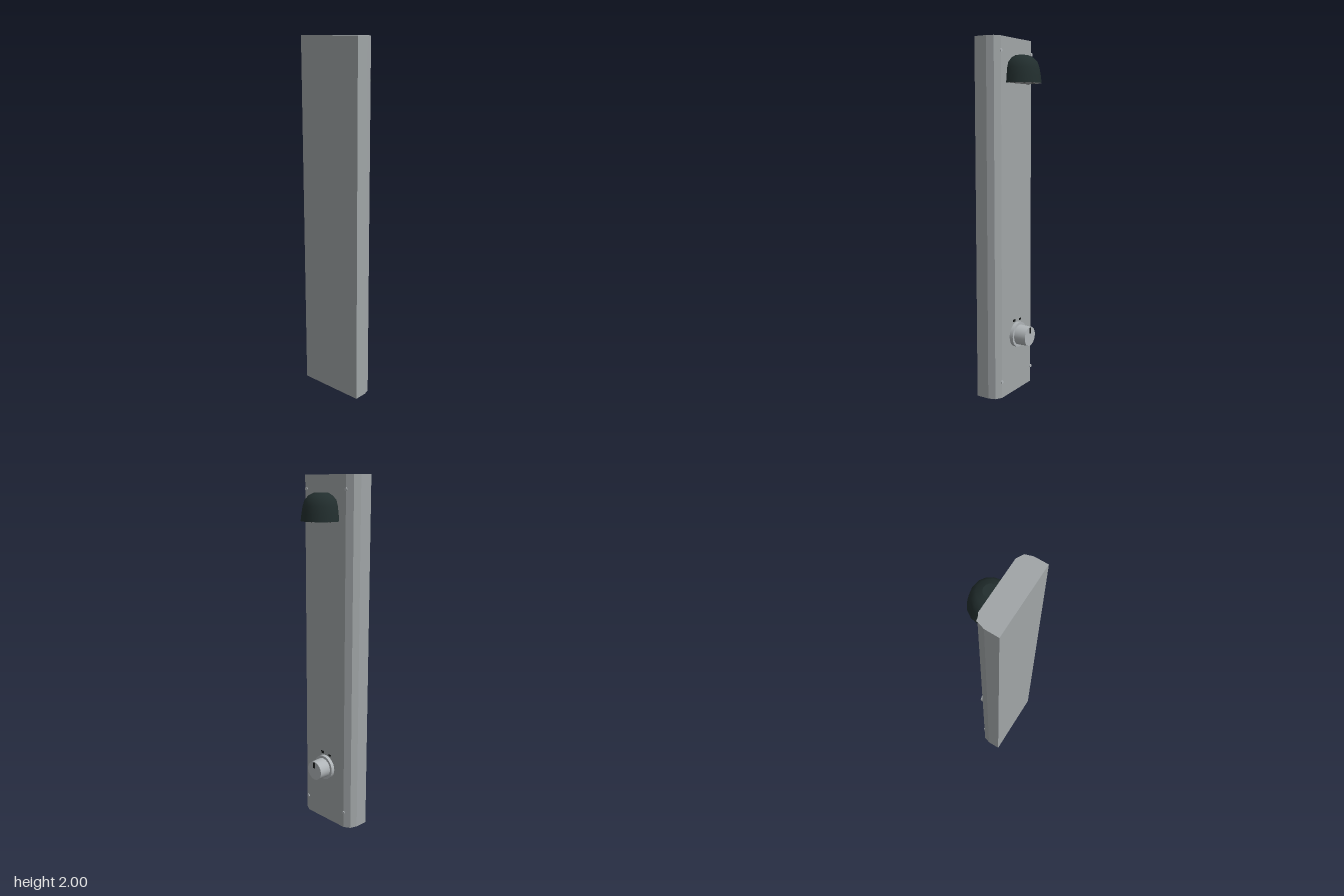
import * as THREE from 'three';

const mat = (name, color) => new THREE.MeshStandardMaterial({ name, color });

export function createModel() {
  const root = new THREE.Group();
  root.name = 'showerPanel';
  const steel = mat('brushed steel', 0xa0a5a7);
  const chrome = mat('chrome', 0xb0b5b8);
  const dark = mat('dark green plastic', 0x222e2e);
  const black = mat('black marking', 0x151818);
  const backZ = 0.004; // control face of the panel

  const add = (parent, name, geo, material, x = 0, y = 0, z = 0) => {
    const m = new THREE.Mesh(geo, material);
    m.name = name;
    m.position.set(x, y, z);
    parent.add(m);
    return m;
  };

  // Panel body: chamfered plan extruded upwards
  const half = [[0.2, 0.14], [0.2, 0.065], [0.187, 0.025], [0.15, backZ]];
  const outline = [...half, ...half.slice().reverse().map(([x, z]) => [-x, z])];
  const plan = new THREE.Shape(outline.map(([x, z]) => new THREE.Vector2(x, -z)));
  const body = new THREE.ExtrudeGeometry(plan, { depth: 2, bevelEnabled: false });
  body.rotateX(-Math.PI / 2);
  add(root, 'panelBody', body, steel);

  // Shower head: dome cut off flat where it meets the panel
  const head = new THREE.Group();
  head.name = 'showerHead';
  head.position.set(0, 1.76, -0.03);
  root.add(head);
  const cut = (geo) => {
    const p = geo.attributes.position;
    for (let i = 0; i < p.count; i++) p.setZ(i, Math.min(p.getZ(i), 0.036));
    return geo;
  };
  const profile = [[0.11, 0], [0.105, 0.04], [0.098, 0.08], [0.088, 0.11], [0.066, 0.134], [0.036, 0.148]];
  const dome = new THREE.LatheGeometry(profile.map(([r, y]) => new THREE.Vector2(r, y)), 16);
  add(head, 'headDome', cut(dome), dark);
  add(head, 'headTop', new THREE.CircleGeometry(0.036, 16).rotateX(-Math.PI / 2), dark, 0, 0.148, 0);
  add(head, 'sprayPlate', cut(new THREE.CircleGeometry(0.11, 16).rotateX(Math.PI / 2)), steel);
  for (let i = 0; i < 8; i++) {
    const a = (i / 8) * Math.PI * 2;
    const z = Math.sin(a) * 0.07;
    if (z > 0.025) continue;
    add(head, 'nozzle', new THREE.CylinderGeometry(0.005, 0.005, 0.004, 8), black, Math.cos(a) * 0.07, -0.001, z);
  }

  // Control knob on its flange
  const knob = new THREE.Group();
  knob.name = 'controlKnob';
  knob.position.set(0, 0.337, backZ);
  root.add(knob);
  const disc = (rBack, rFront, depth, sides) =>
    new THREE.CylinderGeometry(rFront, rBack, depth, sides).rotateX(-Math.PI / 2);
  add(knob, 'flange', disc(0.072, 0.072, 0.021, 32), chrome, 0, 0, -0.0105);
  add(knob, 'knobGrip', disc(0.057, 0.055, 0.07, 32), chrome, 0, 0, -0.056);
  add(knob, 'pointer', new THREE.BoxGeometry(0.012, 0.032, 0.008), black, 0, 0.034, -0.092);

  // Plain setting marks above the flange
  add(knob, 'settingMark', new THREE.BoxGeometry(0.02, 0.014, 0.004), black, 0.026, 0.085, -0.001);
  add(knob, 'settingMark', new THREE.BoxGeometry(0.018, 0.01, 0.004), black, -0.034, 0.08, -0.001);

  // Corner fixing screws
  for (const x of [-0.152, 0.152])
    for (const y of [0.095, 1.925])
      add(root, 'screw', disc(0.009, 0.009, 0.005, 12), chrome, x, y, 0.0015);

  return root;
}
